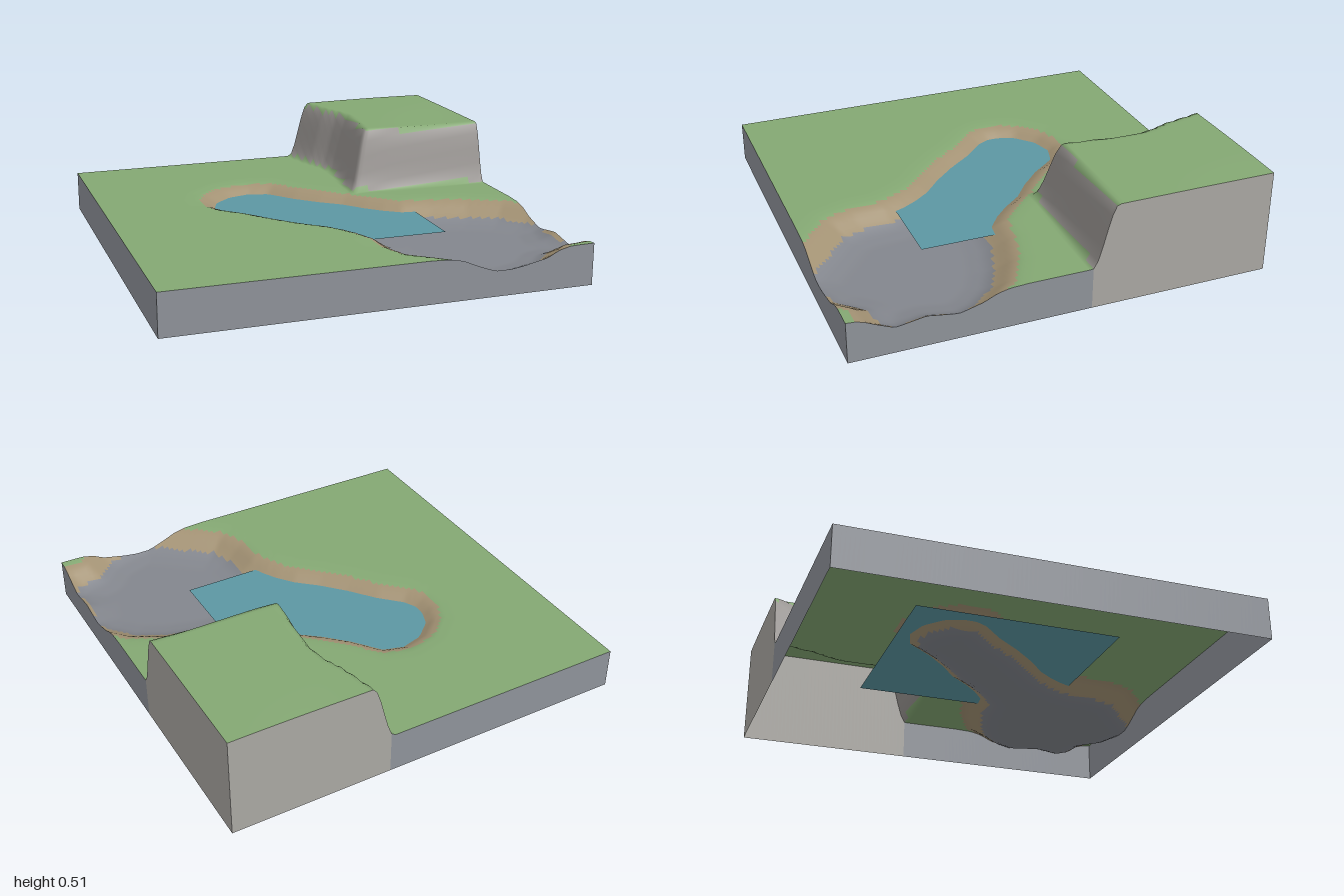
import * as THREE from 'three';

const CELLS = 100, GROUND = 0.2, WATER = 0.155;

const mat = (color) => new THREE.MeshStandardMaterial({ color, side: THREE.DoubleSide, roughness: 0.9 });

// Piecewise-linear lookup through [input, output] pairs
function lookup(pairs, t) {
  if (t <= pairs[0][0]) return pairs[0][1];
  for (let i = 1; i < pairs.length; i++) {
    const [a, va] = pairs[i - 1], [b, vb] = pairs[i];
    if (t <= b) return va + (vb - va) * (t - a) / (b - a);
  }
  return pairs[pairs.length - 1][1];
}

// Shoreline of the lake and the dry basin it opens into (x, z)
const shore = [
  [-0.43, -0.25], [-0.4, -0.33], [-0.31, -0.41], [-0.2, -0.44], [-0.1, -0.41], [0, -0.28],
  [0.1, -0.18], [0.2, -0.1], [0.28, 0], [0.35, 0.07], [0.43, 0.13], [0.58, 0.15],
  [0.75, 0.2], [0.9, 0.28], [1.0, 0.39], [1.05, 0.5], [1.01, 0.65], [1.05, 0.8],
  [0.98, 0.88], [0.86, 0.9], [0.77, 1.0], [0.6, 1.06], [0.5, 1.06], [0.42, 1.0],
  [0.3, 0.9], [0.19, 0.81], [0.15, 0.7], [0.14, 0.55], [0.1, 0.45], [0.06, 0.38],
  [0, 0.3], [-0.1, 0.21], [-0.2, 0.1], [-0.3, -0.03], [-0.4, -0.13], [-0.43, -0.19],
];

// Signed distance to the shoreline, positive inside
function shoreDistance(x, z) {
  let best = Infinity, inside = false;
  shore.forEach(([ax, az], i) => {
    const [bx, bz] = shore[(i + 1) % shore.length];
    const dx = bx - ax, dz = bz - az;
    const t = THREE.MathUtils.clamp(((x - ax) * dx + (z - az) * dz) / (dx * dx + dz * dz), 0, 1);
    best = Math.min(best, Math.hypot(x - ax - t * dx, z - az - t * dz));
    if ((az > z) !== (bz > z) && x < ax + dx * (z - az) / dz) inside = !inside;
  });
  return inside ? best : -best;
}

const bank = [[-0.14, GROUND], [-0.08, 0.196], [-0.04, 0.183], [0, WATER], [0.04, 0.129], [0.08, 0.112], [0.16, 0.1]];
const cliffSide = [[-1, 0.265], [-0.8, 0.31], [-0.7, 0.35], [-0.6, 0.365], [-0.45, 0.355], [-0.25, 0.33]];
const cliffFront = [[0.33, -0.2], [0.5, -0.19], [1, -0.175]];

// Height of the land at a point
function height(x, z) {
  const d = Math.min(x - lookup(cliffSide, z), lookup(cliffFront, x) - z);
  const rise = THREE.MathUtils.smoothstep(d, -0.06, 0.055);
  const bumps = 0.004 * Math.sin(5 * x + 1) * Math.cos(4 * z);
  return lookup(bank, shoreDistance(x, z)) + rise * (0.303 + bumps);
}

// Which surface covers ground of a given height
function surfaceAt(h) {
  if (h < 0.13) return 'basinBed';
  if (h < 0.193) return 'sandBank';
  return h > 0.215 && h < 0.485 ? 'cliffFace' : 'grass';
}

function buildLand(group) {
  const row = CELLS + 1, positions = [], all = [];
  const faces = { grass: [], sandBank: [], basinBed: [], cliffFace: [] };
  const colors = { grass: 0x84a873, sandBank: 0xa39274, basinBed: 0x83868d, cliffFace: 0x96928f };
  const at = (i) => -1 + 2 * i / CELLS;
  for (let j = 0; j < row; j++)
    for (let i = 0; i < row; i++) positions.push(at(i), height(at(i), at(j)), at(j));
  for (let j = 0; j < CELLS; j++)
    for (let i = 0; i < CELLS; i++) {
      const a = j * row + i, b = a + 1, c = a + row, d = c + 1;
      const mean = [a, b, c, d].reduce((sum, k) => sum + positions[3 * k + 1], 0) / 4;
      const quad = [a, c, b, b, c, d];
      faces[surfaceAt(mean)].push(...quad);
      all.push(...quad);
    }
  // Normals come from the whole land so that the surfaces meet smoothly
  const land = new THREE.BufferGeometry();
  land.setAttribute('position', new THREE.Float32BufferAttribute(positions, 3));
  land.setIndex(all);
  land.computeVertexNormals();
  for (const name in faces) {
    const geo = new THREE.BufferGeometry();
    geo.setAttribute('position', land.attributes.position);
    geo.setAttribute('normal', land.attributes.normal);
    geo.setIndex(faces[name]);
    const mesh = new THREE.Mesh(geo, mat(colors[name]));
    mesh.name = name;
    group.add(mesh);
  }
}

// Vertical skirts below the four edges, open underneath
function buildWalls(group) {
  const walls = { baseWall: [], cliffWall: [] };
  const colors = { baseWall: 0x8f939a, cliffWall: 0xaaa8a3 };
  const sides = [(t) => [t, 1], (t) => [1, -t], (t) => [-t, -1], (t) => [-1, t]];
  for (const side of sides)
    for (let i = 0; i < CELLS; i++) {
      const [ax, az] = side(-1 + 2 * i / CELLS), [bx, bz] = side(-1 + 2 * (i + 1) / CELLS);
      const ha = height(ax, az), hb = height(bx, bz);
      walls[Math.max(ha, hb) > 0.225 ? 'cliffWall' : 'baseWall'].push(
        ax, 0, az, bx, 0, bz, bx, hb, bz,
        ax, 0, az, bx, hb, bz, ax, ha, az);
    }
  for (const name in walls) {
    const geo = new THREE.BufferGeometry();
    geo.setAttribute('position', new THREE.Float32BufferAttribute(walls[name], 3));
    geo.computeVertexNormals();
    const mesh = new THREE.Mesh(geo, mat(colors[name]));
    mesh.name = name;
    group.add(mesh);
  }
}

export function createModel() {
  const group = new THREE.Group();
  group.name = 'terrainTile';
  buildLand(group);
  buildWalls(group);

  // Square sheet of water, mostly hidden under the land
  const water = new THREE.Mesh(new THREE.PlaneGeometry(1, 1).rotateX(-Math.PI / 2), mat(0x5c97a3));
  water.position.y = WATER;
  water.name = 'water';
  group.add(water);
  return group;
}
